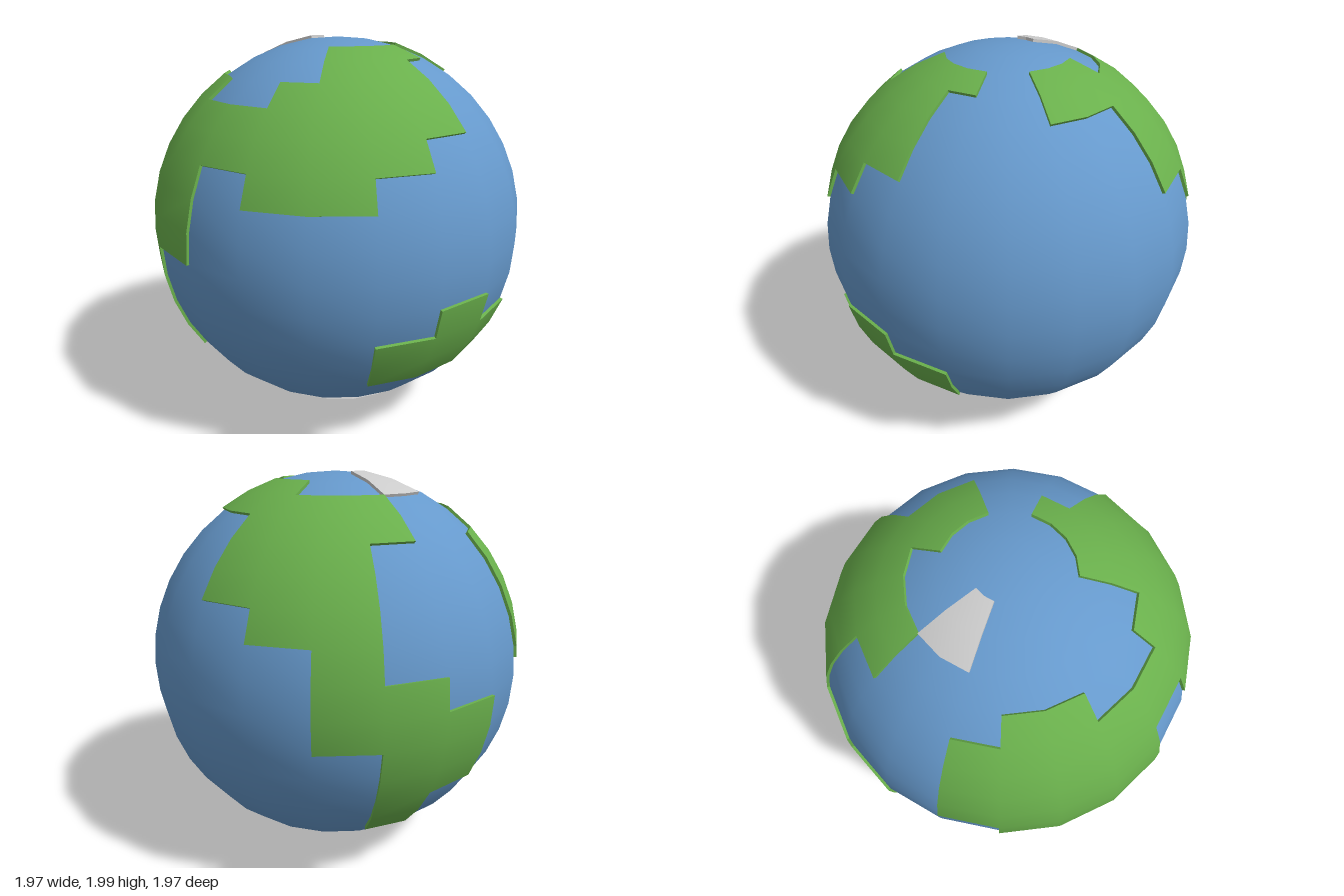
import * as THREE from 'three';

const SEA = 0.985, LAND = 1.0, CENTRE = 1.013;
const COLS = 20;                       // 18 degree columns, 9 degree rows
const LON = Math.PI * 2 / COLS, LAT = Math.PI / COLS;

// Point on the globe grid; column 0 starts at the front, row 0 at the equator
function gridPoint(col, row, r) {
  const c = Math.cos(row * LAT);
  return new THREE.Vector3(
    r * c * Math.sin(col * LON), r * Math.sin(row * LAT), r * c * Math.cos(col * LON));
}

// Raised plate covering [column, firstRow, endRow] spans, with walls on its outline
function plateGeometry(spans) {
  const wrap = (c) => (c + COLS) % COLS;
  const cells = new Set();
  for (const [col, from, to] of spans)
    for (let row = from; row < to; row++) cells.add(`${wrap(col)},${row}`);
  const has = (c, r) => cells.has(`${wrap(c)},${r}`);

  const pos = [], nor = [];
  const quad = (pts, normals) => {
    for (const tri of [[0, 1, 2], [0, 2, 3]]) {
      const [p, q, s] = tri.map((i) => pts[i]);
      if (p.distanceTo(q) < 1e-6 || q.distanceTo(s) < 1e-6 || s.distanceTo(p) < 1e-6) continue;
      for (const i of tri) {
        pos.push(...pts[i].toArray());
        nor.push(...normals[i].toArray());
      }
    }
  };

  for (const key of cells) {
    const [c, r] = key.split(',').map(Number);
    const corners = [[c, r], [c + 1, r], [c + 1, r + 1], [c, r + 1]];
    // smooth outer skin
    quad(corners.map(([x, y]) => gridPoint(x, y, LAND)),
      corners.map(([x, y]) => gridPoint(x, y, 1)));
    // coast walls where there is no neighbouring cell
    const neighbours = [[c, r - 1], [c + 1, r], [c, r + 1], [c - 1, r]];
    neighbours.forEach(([nc, nr], i) => {
      if (has(nc, nr) || nr < -10 || nr > 9) return;
      const a = corners[i], b = corners[(i + 1) % 4];
      const pts = [gridPoint(...a, SEA - 0.004), gridPoint(...b, SEA - 0.004),
        gridPoint(...b, LAND), gridPoint(...a, LAND)];
      const n = new THREE.Vector3().crossVectors(
        pts[1].clone().sub(pts[0]), pts[3].clone().sub(pts[0])).normalize();
      quad(pts, [n, n, n, n]);
    });
  }
  const geo = new THREE.BufferGeometry();
  geo.setAttribute('position', new THREE.Float32BufferAttribute(pos, 3));
  geo.setAttribute('normal', new THREE.Float32BufferAttribute(nor, 3));
  return geo;
}

export function createModel() {
  const group = new THREE.Group();
  group.name = 'globe';
  const sea = new THREE.MeshStandardMaterial({ color: 0x6699cc });
  const land = new THREE.MeshStandardMaterial({ color: 0x6ab04c });
  const ice = new THREE.MeshStandardMaterial({ color: 0xcccccc });
  const add = (name, geometry, material) => {
    const mesh = new THREE.Mesh(geometry, material);
    mesh.name = name;
    mesh.position.y = CENTRE;
    group.add(mesh);
  };

  add('ocean', new THREE.SphereGeometry(SEA, COLS, COLS), sea);

  // Large continent across the front
  add('frontContinent', plateGeometry([
    [-5, 1, 5], [-4, 0, 6], [-3, -4, 6], [-2, 0, 5], [-1, 3, 5],
    [0, 2, 6], [1, 2, 8], [2, 3, 8], [3, 4, 8], [4, 7, 8],
  ]), land);

  // Continent on the back, with a southern arm
  add('backContinent', plateGeometry([
    [7, 6, 8], [8, 6, 8], [9, 3, 8], [10, 2, 7], [11, -1, 7],
    [12, 5, 7], [12, -5, 1], [13, -3, 0],
  ]), land);

  // Small southern island
  add('southIsland', plateGeometry([[2, -4, -2], [3, -4, -1], [4, -4, -2]]), land);

  // Ice near the north pole and the cap around the south pole
  add('northIce', plateGeometry([[13, 7, 9], [14, 7, 9]]), ice);
  const capTop = (c) => (c < 5 || c > 17 ? -7 : [5, 6, 12, 13].includes(c) ? -9 : -8);
  add('southIceCap', plateGeometry(
    Array.from({ length: COLS }, (_, c) => [c, -10, capTop(c)])), ice);

  return group;
}
